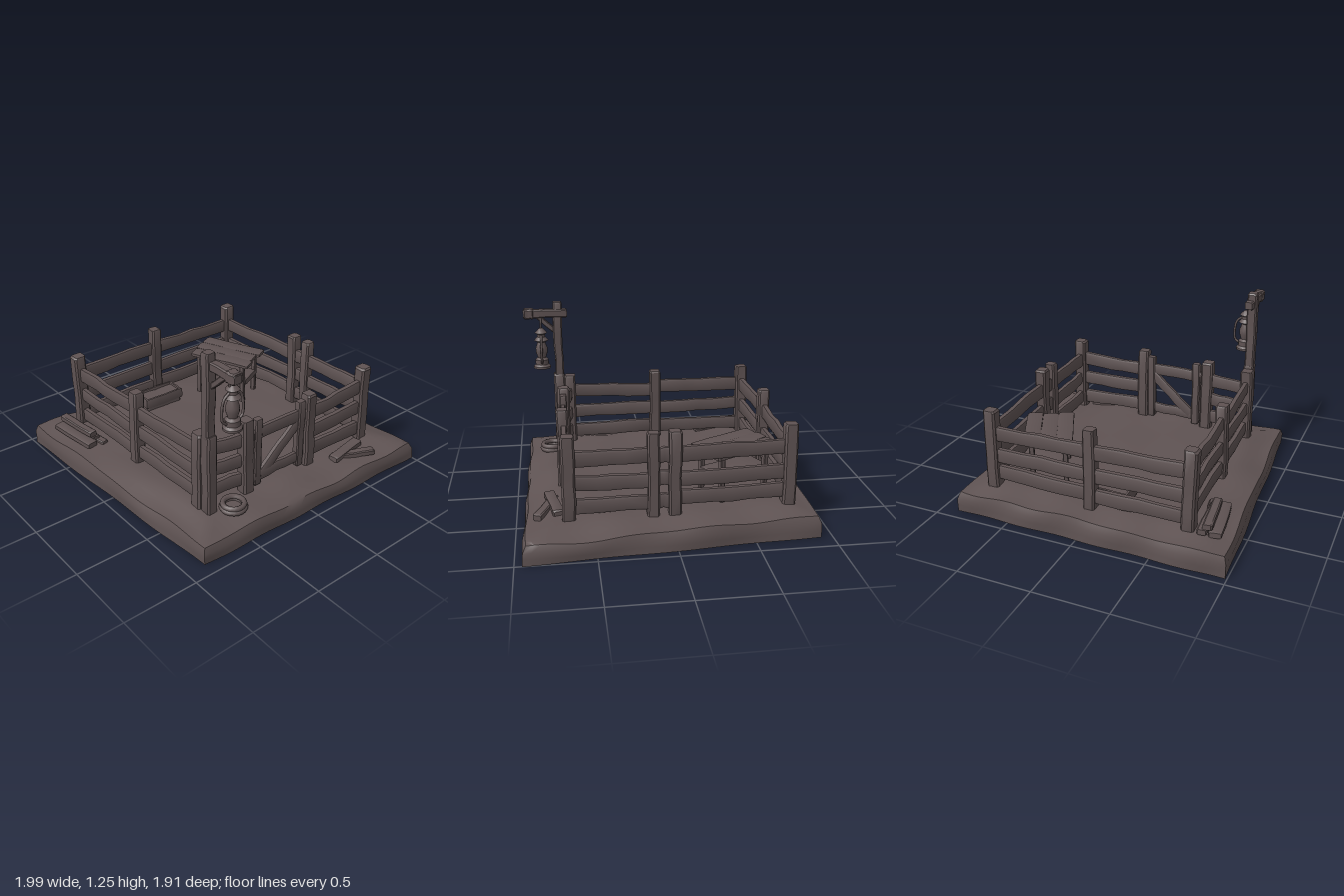
import * as THREE from 'three';
import { toCreasedNormals } from 'three/addons/utils/BufferGeometryUtils.js';

export function createModel() {
  const root = new THREE.Group();
  const wood = new THREE.MeshStandardMaterial({ color: 0x5f5353 });
  wood.name = 'dark umber';

  let seed = 7;
  const rnd = () => ((seed = (seed * 16807) % 2147483647) / 2147483647) - 0.5;
  const V = (x, y, z) => new THREE.Vector3(x, y, z);

  function add(geometry, name, parent = root) {
    const mesh = new THREE.Mesh(geometry, wood);
    mesh.name = name;
    parent.add(mesh);
    return mesh;
  }

  // Hewn timber from a to b: chamfered section w (sideways) by d, slightly crooked, bevelled ends
  function beam(name, a, b, w, d, wobble = 0.008, parent = root) {
    const dir = b.clone().sub(a), len = dir.length();
    dir.normalize();
    const rings = 6, bevel = Math.min(0.012, len * 0.1);
    const g = new THREE.CylinderGeometry(1, 1, len, 8, rings, false, Math.PI / 8);
    const p = g.attributes.position;
    const bends = Array.from({ length: rings + 1 }, () => [rnd() * wobble, rnd() * wobble, 1 + rnd() * wobble * 12]);
    for (let i = 0; i < p.count; i++) {
      const ring = Math.round((p.getY(i) / len + 0.5) * rings);
      const end = ring === 0 || ring === rings;
      const [ox, oz, s] = bends[ring];
      const side = v => Math.abs(v) < 0.01 ? 0 : Math.sign(v) * (Math.abs(v) > 0.6 ? 0.5 : 0.36) * (end ? 0.86 : s);
      let y = p.getY(i);
      if (ring === 1) y = -len / 2 + bevel;
      if (ring === rings - 1) y = len / 2 - bevel;
      p.setXYZ(i, side(p.getX(i)) * w + ox, y, side(p.getZ(i)) * d + oz);
    }
    const m = add(toCreasedNormals(g, 0.6), name, parent);
    const x = Math.abs(dir.y) > 0.95 ? V(1, 0, 0) : V(0, 1, 0).cross(dir).normalize();
    const z = x.clone().cross(dir).normalize();
    x.copy(dir).cross(z).normalize();
    m.quaternion.setFromRotationMatrix(new THREE.Matrix4().makeBasis(x, dir, z));
    m.position.copy(a).add(b).multiplyScalar(0.5);
    return m;
  }

  // Earth slab: skewed plan, slumped rim, gently uneven top
  const N = 36;
  const slab = new THREE.BoxGeometry(2, 1, 2, N, 3, N);
  const sp = slab.attributes.position;
  const mix = THREE.MathUtils.lerp;
  for (let i = 0; i < sp.count; i++) {
    const u = sp.getX(i), v = sp.getZ(i), t = sp.getY(i) + 0.5;
    const a = (u + 1) / 2, b = (v + 1) / 2;
    const rim = 1 - Math.max(Math.abs(u), Math.abs(v));
    const rise = Math.min(1, rim / 0.24);
    const rough = 0.008 * Math.sin(u * 9 + v * 3) * Math.sin(v * 8 - u * 4 + 1);
    const top = mix(mix(0.145, 0.115, b), 0.165, rise * rise * (3 - 2 * rise)) + rough * (rim < 0.3 ? 1.5 : 0.5);
    const pull = 1 - (t > 0.9 && rim < 0.01 ? 0.018 : 0) - 0.006 * (1 + Math.sin(u * 11 + v * 7 + t * 2));
    const x = mix(mix(-1, 0.88, a), mix(-0.875, 1.005, a), b);
    const z = mix(mix(-0.955, -0.925, a), mix(0.92, 0.955, a), b);
    sp.setXYZ(i, x * pull, t * top, z * pull);
  }
  add(toCreasedNormals(slab, 0.75), 'groundSlab');

  // Fence posts: x, z, top, width
  const posts = [
    [-0.69, -0.75, 0.7, 0.085], [-0.03, -0.76, 0.71, 0.08], [0.68, -0.75, 0.71, 0.085],
    [0.715, -0.005, 0.71, 0.08], [0.715, 0.13, 0.705, 0.075], [0.725, 0.66, 0.71, 0.085],
    [0.195, 0.67, 0.7, 0.08], [-0.33, 0.65, 0.69, 0.085], [-0.65, 0.595, 0.69, 0.085],
    [-0.67, -0.06, 0.695, 0.08],
  ];
  posts.forEach(([x, z, top, w]) =>
    beam('fencePost', V(x, 0.1, z), V(x + rnd() * 0.01, top, z + rnd() * 0.01), w, w));

  // Three rails between neighbouring posts; the gate fills the gap between posts 6 and 7
  const heights = [0.25, 0.4, 0.555];
  posts.forEach(([x, z], i) => {
    if (i === 6) return;
    const [x2, z2] = posts[(i + 1) % posts.length];
    heights.forEach(y => beam('fenceRail', V(x, y + rnd() * 0.03, z), V(x2, y + rnd() * 0.03, z2), 0.04, 0.095, 0.01));
  });

  // Gate
  const gate = new THREE.Group();
  gate.name = 'gate';
  root.add(gate);
  beam('gateStile', V(-0.24, 0.17, 0.655), V(-0.24, 0.66, 0.655), 0.06, 0.05, 0.005, gate);
  beam('gateStile', V(0.125, 0.17, 0.665), V(0.125, 0.66, 0.665), 0.06, 0.05, 0.005, gate);
  [[0.235, 0.075], [0.555, 0.08]].forEach(([y, h]) =>
    beam('gateRail', V(-0.3, y, 0.66), V(0.16, y + 0.01, 0.665), 0.035, h, 0.008, gate));
  beam('gateBrace', V(-0.21, 0.23, 0.66), V(0.12, 0.52, 0.665), 0.035, 0.07, 0.006, gate);

  // Lantern post, arm and brace
  beam('lanternPostFoot', V(-0.64, 0.1, 0.67), V(-0.64, 0.71, 0.67), 0.075, 0.085);
  beam('lanternPost', V(-0.64, 0.6, 0.67), V(-0.64, 1.255, 0.67), 0.068, 0.065);
  beam('lanternArm', V(-0.625, 1.175, 0.6), V(-0.625, 1.175, 0.92), 0.06, 0.06, 0.005);
  beam('armEnd', V(-0.625, 1.175, 0.845), V(-0.625, 1.175, 0.915), 0.074, 0.074, 0.004);
  beam('armBrace', V(-0.63, 1.03, 0.68), V(-0.63, 1.165, 0.83), 0.035, 0.035, 0.004);

  // Hanging lantern
  const lantern = new THREE.Group();
  lantern.name = 'lantern';
  lantern.position.set(-0.56, 0.78, 0.795);
  root.add(lantern);
  const profile = [[0, 0], [0.062, 0], [0.062, 0.015], [0.048, 0.03], [0.048, 0.065], [0.03, 0.08],
    [0.043, 0.12], [0.043, 0.15], [0.028, 0.195], [0.052, 0.21], [0.03, 0.235], [0.03, 0.255],
    [0.045, 0.265], [0.018, 0.295], [0, 0.3]].map(([r, y]) => new THREE.Vector2(r, y));
  add(toCreasedNormals(new THREE.LatheGeometry(profile, 14), 0.6), 'lanternBody', lantern);
  for (const s of [-1, 1]) {
    const frame = new THREE.CatmullRomCurve3([V(s * 0.045, 0.045, 0), V(s * 0.075, 0.07, 0),
      V(s * 0.078, 0.17, 0), V(s * 0.06, 0.22, 0), V(s * 0.025, 0.245, 0)]);
    add(new THREE.TubeGeometry(frame, 14, 0.009, 6), 'lanternSideTube', lantern);
  }
  const hook = new THREE.CatmullRomCurve3([V(-0.02, 0.27, 0), V(-0.025, 0.33, 0), V(-0.05, 0.37, 0), V(-0.065, 0.4, 0)]);
  add(new THREE.TubeGeometry(hook, 10, 0.008, 6), 'lanternHook', lantern);

  // Rope coil on the ground under the lantern
  for (let i = 0; i < 2; i++) {
    const coil = add(new THREE.TorusGeometry(0.075 - i * 0.006, 0.018, 7, 20), 'ropeCoil');
    coil.rotation.x = Math.PI / 2;
    coil.position.set(-0.505, 0.165 + i * 0.025, 0.745);
  }

  // Plank table in the back corner
  const table = new THREE.Group();
  table.name = 'table';
  table.position.set(0.425, 0, -0.445);
  table.rotation.y = 0.445;
  root.add(table);
  for (let i = 0; i < 3; i++) {
    const x = (i - 1) * 0.108;
    beam('tablePlank', V(x, 0.495, -0.235 + rnd() * 0.02), V(x, 0.48, 0.235 + rnd() * 0.02), 0.107, 0.028, 0.004, table);
  }
  beam('tableShelf', V(0, 0.315, -0.2), V(0, 0.315, 0.2), 0.22, 0.05, 0.004, table);
  for (const x of [-0.11, 0.11]) for (const z of [-0.18, 0.18])
    beam('tableLeg', V(x, 0.14, z), V(x, 0.48, z), 0.035, 0.035, 0.004, table);

  // Low feeding trough at the back fence
  const trough = new THREE.Group();
  trough.name = 'trough';
  trough.position.set(-0.1, 0, -0.62);
  trough.rotation.y = -0.03;
  root.add(trough);
  beam('troughBody', V(-0.15, 0.2, 0), V(0.15, 0.2, 0), 0.145, 0.1, 0.004, trough);
  for (const z of [-0.07, 0.07])
    beam('troughSide', V(-0.16, 0.225, z), V(0.16, 0.225, z), 0.02, 0.075, 0.004, trough);
  for (const x of [-0.15, 0.15])
    beam('troughEnd', V(x, 0.225, -0.075), V(x, 0.225, 0.075), 0.02, 0.075, 0.004, trough);

  // Loose planks lying on the ground: from x, z to x, z, height, width
  [[-0.87, -0.79, -0.82, -0.41, 0.175, 0.085], [-0.79, -0.81, -0.765, -0.45, 0.185, 0.06],
    [-0.78, -0.63, -0.73, -0.39, 0.165, 0.05], [-0.82, -0.8, -0.78, -0.46, 0.222, 0.06],
    [0.35, 0.78, 0.66, 0.72, 0.17, 0.07], [0.39, 0.745, 0.67, 0.86, 0.155, 0.06],
  ].forEach(([x1, z1, x2, z2, y, w]) =>
    beam('loosePlank', V(x1, y, z1), V(x2, y - 0.005, z2), w, 0.042, 0.006));

  return root;
}
